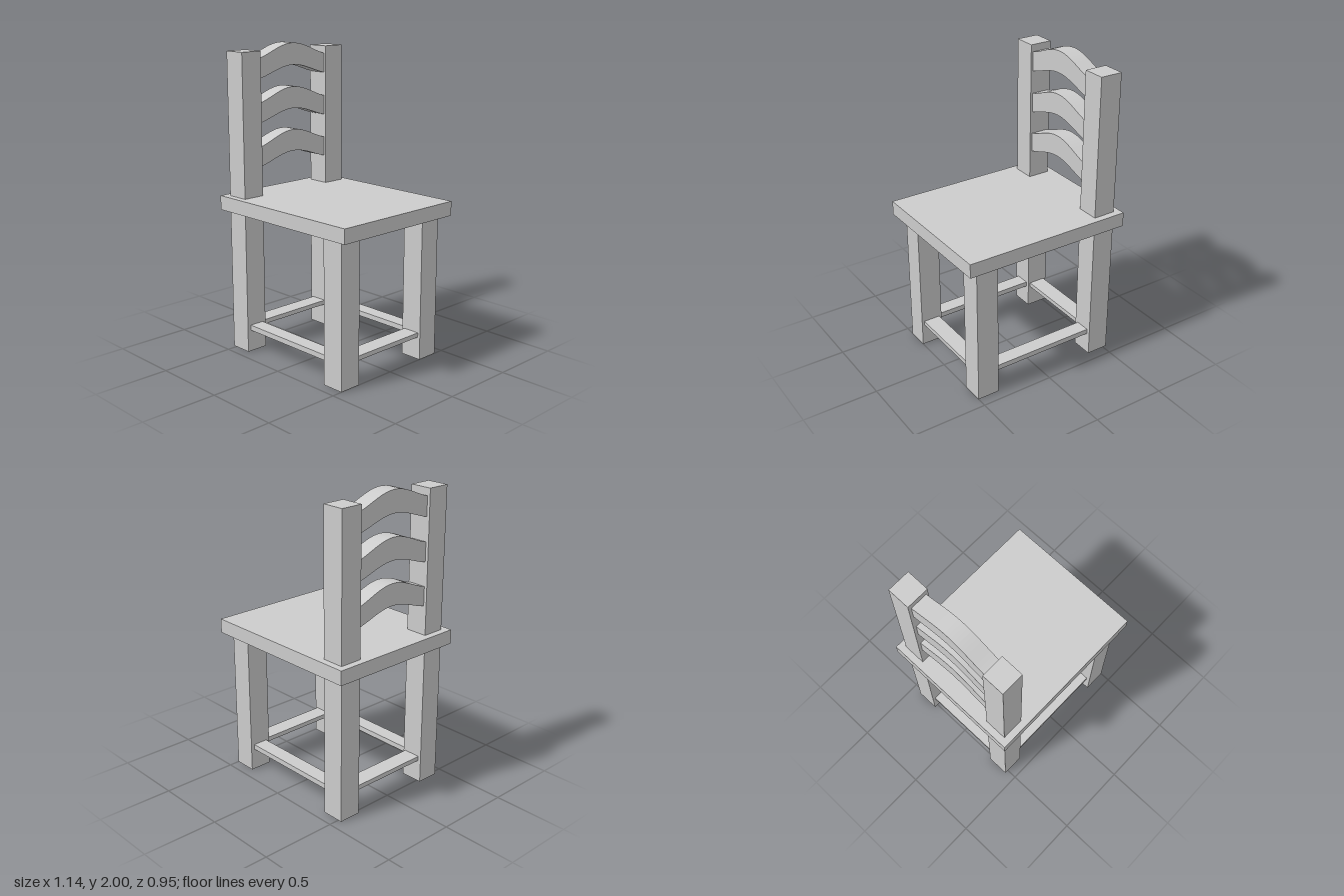
import * as THREE from 'three';

export function createModel() {
  const chair = new THREE.Group();
  chair.name = 'chair';
  const grey = new THREE.MeshStandardMaterial({ color: 0xcccccc });
  grey.name = 'plainGrey';

  // Box given by its extents on each axis
  function box(name, [x0, x1], [y0, y1], [z0, z1]) {
    const mesh = new THREE.Mesh(new THREE.BoxGeometry(x1 - x0, y1 - y0, z1 - z0), grey);
    mesh.position.set((x0 + x1) / 2, (y0 + y1) / 2, (z0 + z1) / 2);
    mesh.name = name;
    chair.add(mesh);
  }

  box('seat', [-0.57, 0.57], [0.943, 1.037], [-0.475, 0.475]);

  // Legs, back posts above the seat and long stretchers, mirrored in z
  for (const s of [-1, 1]) {
    const side = s > 0 ? 'Near' : 'Far';
    const z = [s * 0.355 - 0.075, s * 0.355 + 0.075];
    box('backPost' + side, [-0.525, -0.375], [0, 1.965], z);
    box('frontLeg' + side, [0.35, 0.5], [0, 0.943], z);
    box('sideStretcher' + side, [-0.375, 0.35], [0.145, 0.18], [s * 0.355 - 0.05, s * 0.355 + 0.05]);
  }

  // Cross stretchers and seat rails between each pair of legs
  for (const [name, x] of [['back', -0.4475], ['front', 0.425]]) {
    const span = [x - 0.0575, x + 0.0575];
    box(name + 'Stretcher', span, [0.15, 0.18], [-0.28, 0.28]);
    box(name + 'SeatRail', span, [0.907, 0.943], [-0.28, 0.28]);
  }

  // Bell-curved back slats
  const half = 0.28, steps = 24;
  const bell = (z) => 0.5 * (1 - Math.cos((Math.PI * z) / 0.36));
  function slat(name, top) {
    const points = [];
    for (let i = 0; i <= steps; i++) {
      const z = -half + (2 * half * i) / steps;
      points.push(new THREE.Vector2(z, top - 0.141 - 0.079 * bell(z)));
    }
    for (let i = steps; i >= 0; i--) {
      const z = -half + (2 * half * i) / steps;
      points.push(new THREE.Vector2(z, top - 0.094 * bell(z)));
    }
    const geometry = new THREE.ExtrudeGeometry(new THREE.Shape(points), { depth: 0.115, bevelEnabled: false });
    geometry.rotateY(Math.PI / 2);
    const mesh = new THREE.Mesh(geometry, grey);
    mesh.position.x = -0.505;
    mesh.name = name;
    chair.add(mesh);
  }
  slat('lowerSlat', 1.436);
  slat('middleSlat', 1.718);
  slat('upperSlat', 2);

  return chair;
}
